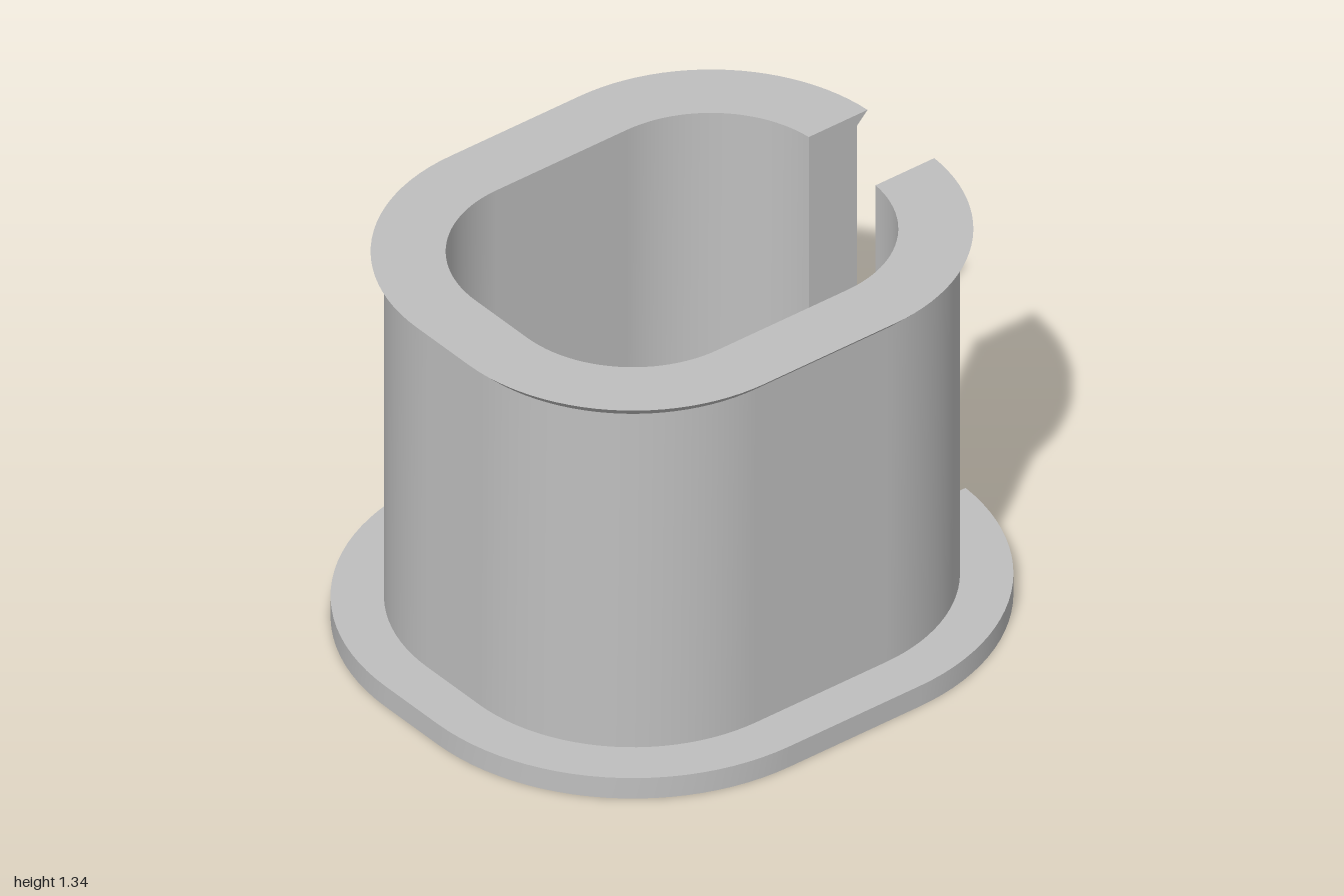
import * as THREE from 'three';

const CX = 0.25, CZ = 0.125; // centres of the rounded corners
const GAP = 0.16;            // half width of the slot on the +x side
const STEPS = 24;            // segments per corner

// Closed cross-section as [corner radius, height], counter-clockwise,
// each with the name of the face that starts there
const PROFILE = [
  [0.48, 0, 'flangeUnderside'],
  [0.75, 0, 'flangeRim'],
  [0.75, 0.075, 'flangeTop'],
  [0.59, 0.075, 'outerWall'],
  [0.59, 1.3, 'lipFlare'],
  [0.63, 1.34, 'topRim'],
  [0.405, 1.34, 'innerWall'],
  [0.405, 0.075, 'innerChamfer'],
];

// Rounded rectangle of one corner radius, open between z = GAP and z = -GAP
function outline(r) {
  const start = Math.asin((GAP - CZ) / r);
  const points = [];
  for (let c = 0; c < 4; c++) {
    const from = c === 0 ? start : c * Math.PI / 2;
    const to = c === 3 ? 2 * Math.PI - start : (c + 1) * Math.PI / 2;
    const cx = c === 0 || c === 3 ? CX : -CX;
    const cz = c < 2 ? CZ : -CZ;
    for (let i = 0; i <= STEPS; i++) {
      const a = from + (to - from) * i / STEPS;
      points.push([cx + r * Math.cos(a), cz + r * Math.sin(a)]);
    }
  }
  return points;
}

// One smooth band swept between two neighbouring profile points
function band([r0, y0], [r1, y1]) {
  const lower = outline(r0), upper = outline(r1);
  const positions = [], index = [];
  lower.forEach(([x, z], i) => {
    positions.push(x, y0, z, upper[i][0], y1, upper[i][1]);
    if (i === 0) return;
    const a = 2 * (i - 1);
    index.push(a, a + 1, a + 2, a + 1, a + 3, a + 2);
  });
  const geometry = new THREE.BufferGeometry();
  geometry.setAttribute('position', new THREE.Float32BufferAttribute(positions, 3));
  geometry.setIndex(index);
  geometry.computeVertexNormals();
  return geometry;
}

export function createModel() {
  const group = new THREE.Group();
  group.name = 'slottedFlangedSleeve';
  const grey = new THREE.MeshStandardMaterial({ color: 0xbfbfbf });
  grey.name = 'grey';

  const add = (name, geometry) => {
    const mesh = new THREE.Mesh(geometry, grey);
    mesh.name = name;
    group.add(mesh);
    return mesh;
  };

  // Flange, wall, lip and bore
  PROFILE.forEach((p, i) => add(p[2], band(p, PROFILE[(i + 1) % PROFILE.length])));

  // Flat cut faces on both sides of the slot
  const section = new THREE.Shape(PROFILE.map(([r, y]) =>
    new THREE.Vector2(CX + Math.sqrt(r * r - (GAP - CZ) ** 2), y)));
  add('slotFaceBack', new THREE.ShapeGeometry(section)).position.z = -GAP;

  // The front cut face looks the other way, so its corners are reversed
  const front = new THREE.ShapeGeometry(section);
  front.setIndex(Array.from(front.index.array).reverse());
  front.computeVertexNormals();
  add('slotFaceFront', front).position.z = GAP;

  return group;
}
